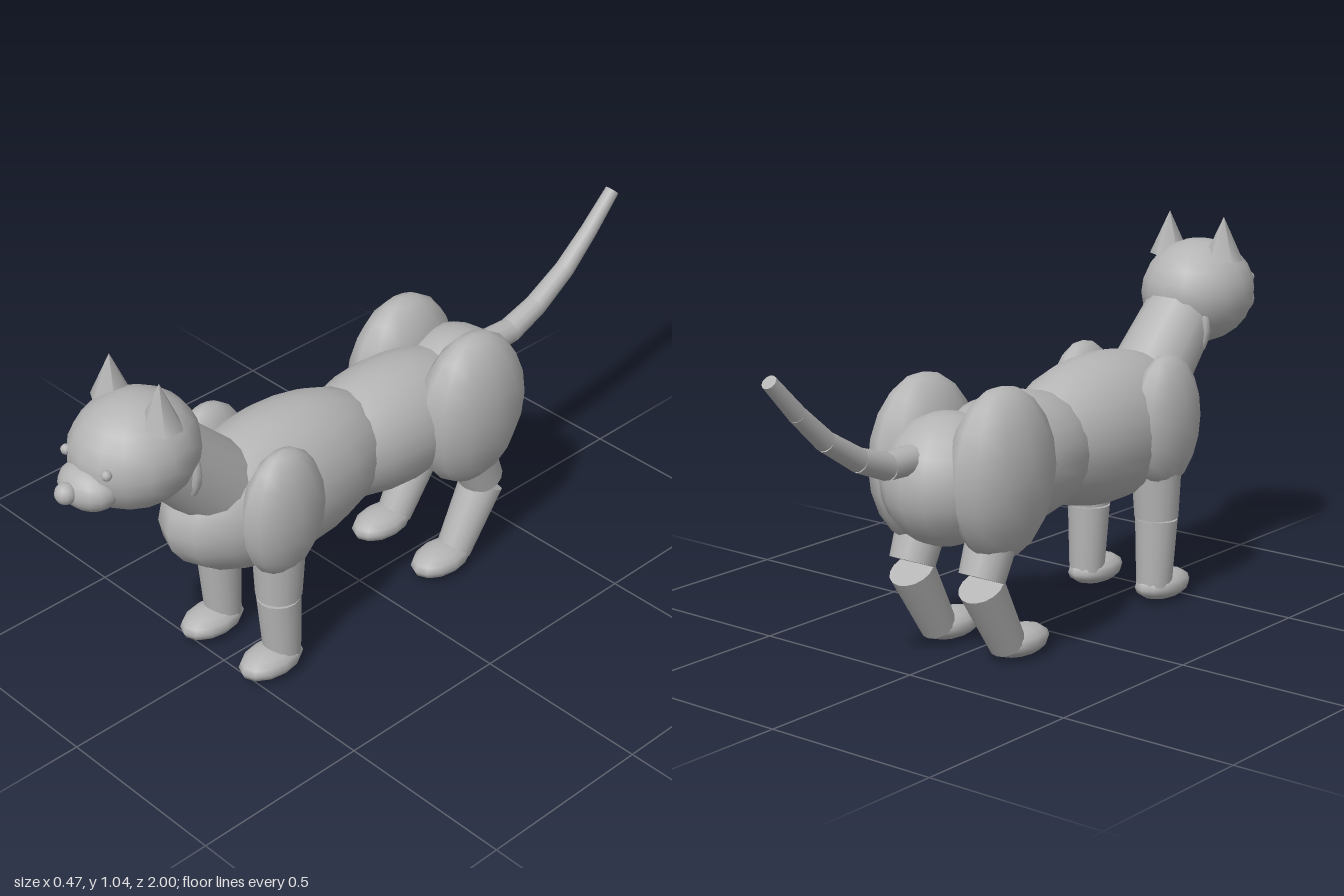
import * as THREE from 'three';

export function createModel() {
  const model = new THREE.Group();
  model.name = 'cat';
  const grey = new THREE.MeshStandardMaterial({ color: 0xb4b4b4 });
  grey.name = 'plain grey';

  const add = (name, geometry, position) => {
    const mesh = new THREE.Mesh(geometry, grey);
    mesh.name = name;
    mesh.position.set(...position);
    model.add(mesh);
    return mesh;
  };

  // Rounded mass: a sphere stretched to three radii
  const blob = (name, position, radii, seg = 16, rings = 12) =>
    add(name, new THREE.SphereGeometry(1, seg, rings).scale(...radii), position);

  // Tapered cylinder running from point a to point b
  const limb = (name, a, b, ra, rb, seg = 16) => {
    const start = new THREE.Vector3(...a), end = new THREE.Vector3(...b);
    const dir = end.clone().sub(start);
    const mid = start.clone().add(end).multiplyScalar(0.5);
    const mesh = add(name, new THREE.CylinderGeometry(rb, ra, dir.length(), seg), mid.toArray());
    mesh.quaternion.setFromUnitVectors(new THREE.Vector3(0, 1, 0), dir.normalize());
    return mesh;
  };

  // Trunk
  blob('chest', [0, 0.5, 0.3], [0.18, 0.21, 0.37]);
  blob('waist', [0, 0.49, -0.1], [0.168, 0.18, 0.32]);
  blob('hips', [0, 0.49, -0.35], [0.165, 0.175, 0.18]);

  // Neck and collar
  limb('neck', [0, 0.58, 0.5], [0, 0.82, 0.73], 0.115, 0.1);
  add('collar', new THREE.TorusGeometry(0.102, 0.014, 8, 24), [0, 0.73, 0.65]);

  // Head
  blob('head', [0, 0.815, 0.757], [0.157, 0.148, 0.172]);
  blob('muzzle', [0, 0.774, 0.9], [0.087, 0.06, 0.07]);
  blob('nose', [0, 0.782, 0.972], [0.028, 0.028, 0.028], 12, 8);

  for (const [side, s] of [['left', 1], ['right', -1]]) {
    blob(side + 'Eye', [s * 0.077, 0.84, 0.905], [0.014, 0.014, 0.014], 8, 6);
    add(side + 'Ear', new THREE.ConeGeometry(0.056, 0.123, 6), [s * 0.093, 0.974, 0.745]);

    // Front leg
    const x = s * 0.118;
    blob(side + 'Shoulder', [s * 0.144, 0.52, 0.407], [0.072, 0.187, 0.132], 12, 10);
    limb(side + 'FrontUpperLeg', [x, 0.48, 0.4], [x, 0.243, 0.405], 0.076, 0.062);
    limb(side + 'FrontLowerLeg', [x, 0.237, 0.405], [x, 0.04, 0.397], 0.06, 0.05);
    blob(side + 'FrontPaw', [x, 0.042, 0.437], [0.063, 0.042, 0.1], 12, 8);

    // Hind leg, bent at the hock
    blob(side + 'Thigh', [s * 0.132, 0.512, -0.287], [0.104, 0.228, 0.183], 12, 10);
    limb(side + 'HindUpperLeg', [x, 0.45, -0.265], [x, 0.245, -0.352], 0.075, 0.062);
    limb(side + 'HindLowerLeg', [x, 0.225, -0.355], [x, 0.045, -0.25], 0.062, 0.05);
    blob(side + 'HindPaw', [x, 0.042, -0.2], [0.063, 0.042, 0.1], 12, 8);
  }

  // Tail: straight tapering pieces rising in a curve
  const tail = [[-0.47, 0.567], [-0.575, 0.567], [-0.68, 0.605], [-0.795, 0.675], [-0.89, 0.76], [-0.982, 0.855]];
  for (let i = 0; i < tail.length - 1; i++) {
    const [z0, y0] = tail[i], [z1, y1] = tail[i + 1];
    limb('tailSegment' + (i + 1), [0, y0, z0], [0, y1, z1], 0.04 - i * 0.004, 0.036 - i * 0.004, 12);
  }

  return model;
}
